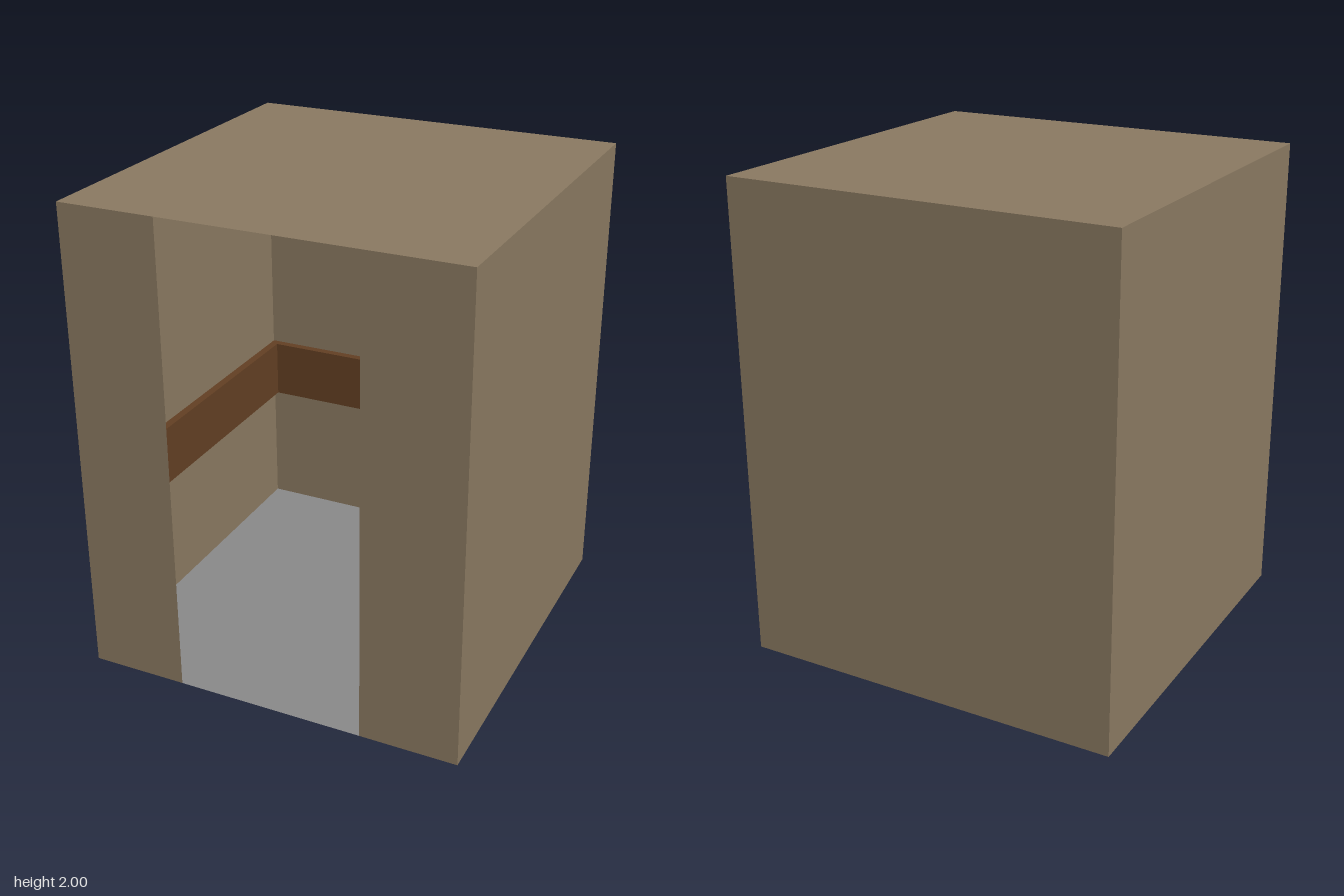
import * as THREE from 'three';

export function createModel() {
  const cabin = new THREE.Group();
  cabin.name = 'cabin';

  const material = (name, color) => {
    const m = new THREE.MeshStandardMaterial({ color, side: THREE.DoubleSide });
    m.name = name;
    return m;
  };
  const wallTan = material('wallTan', 0x8b7a62);
  const railBrown = material('railBrown', 0x633f23);
  const floorGrey = material('floorGrey', 0x8a8a8a);

  const H = 2, R = 0.81, DOOR = 0.4;

  const add = (name, geometry, mat, x, y, z, rx = 0, ry = 0) => {
    const mesh = new THREE.Mesh(geometry, mat);
    mesh.name = name;
    mesh.position.set(x, y, z);
    mesh.rotation.set(rx, ry, 0);
    cabin.add(mesh);
  };

  // Thin sheet shell
  const square = new THREE.PlaneGeometry(2 * R, 2 * R);
  const wall = new THREE.PlaneGeometry(2 * R, H);
  const frontWall = new THREE.PlaneGeometry(R - DOOR, H);
  add('floor', square, floorGrey, 0, 0, 0, -Math.PI / 2);
  add('roof', square, wallTan, 0, H, 0, -Math.PI / 2);
  add('backWall', wall, wallTan, 0, H / 2, -R, 0, Math.PI);

  // Rail boards run along the inside of the back and side walls
  const T = 0.035, railH = 0.26, railY = 0.7, gap = 0.002;
  const inset = R - gap - T / 2;
  add('backRail', new THREE.BoxGeometry(2 * (R - gap - T), railH, T), railBrown, 0, railY, -inset);
  const sideRail = new THREE.BoxGeometry(T, railH, 2 * (R - gap));

  // Side walls, front panels beside the doorway, and side rails
  for (const [side, s] of [['left', 1], ['right', -1]]) {
    add(side + 'Wall', wall, wallTan, s * R, H / 2, 0, 0, s * Math.PI / 2);
    add(side + 'FrontWall', frontWall, wallTan, s * (R + DOOR) / 2, H / 2, R);
    add(side + 'Rail', sideRail, railBrown, s * inset, railY, 0);
  }

  // Control panel on the inner face of the right front wall
  add('controlPanel', new THREE.BoxGeometry(0.22, 0.37, 0.016), floorGrey, -0.62, 1.205, R - 0.01);

  return cabin;
}
